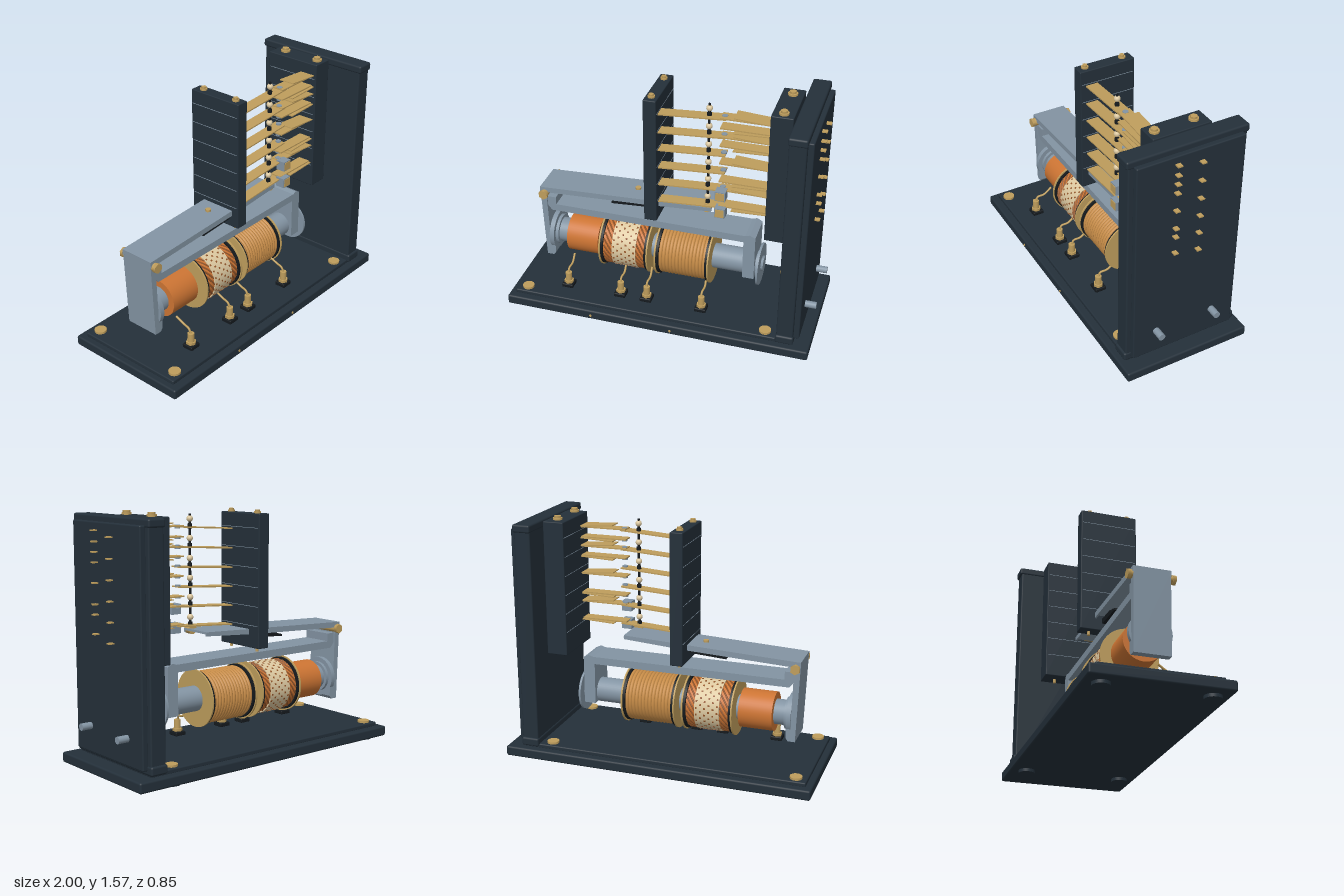
import * as THREE from 'three';
import { RoundedBoxGeometry } from 'three/addons/geometries/RoundedBoxGeometry.js';

const mat = (name, color) => Object.assign(new THREE.MeshStandardMaterial({ color }), { name });

export function createModel() {
  const M = {
    dark: mat('dark enamel', 0x24303a), black: mat('black insulation', 0x151a1e),
    brass: mat('brass', 0xbe9d5c), steel: mat('steel', 0x8394a3),
    copper: mat('copper', 0xcc7433), tan: mat('enamelled wire', 0xc88d48),
    cream: mat('cream wrap', 0xdcc8a0), brown: mat('brown thread', 0x93562a),
  };
  const root = new THREE.Group();
  const add = (name, geo, m, x = 0, y = 0, z = 0, parent = root) => {
    const mesh = new THREE.Mesh(geo, m);
    mesh.name = name;
    mesh.position.set(x, y, z);
    parent.add(mesh);
    return mesh;
  };
  // box given by its minimum and maximum corners
  const box = (name, m, x0, x1, y0, y1, z0, z1, r = 0) => {
    const s = [x1 - x0, y1 - y0, z1 - z0];
    const g = r ? new RoundedBoxGeometry(...s, 2, r) : new THREE.BoxGeometry(...s);
    return add(name, g, m, (x0 + x1) / 2, (y0 + y1) / 2, (z0 + z1) / 2);
  };
  const cyl = (name, m, axis, r, len, x, y, z, sides = 32) => {
    const g = new THREE.CylinderGeometry(r, r, len, sides);
    if (axis === 'x') g.rotateZ(-Math.PI / 2);
    if (axis === 'z') g.rotateX(Math.PI / 2);
    return add(name, g, m, x, y, z);
  };
  // flat strip between two points in the xy plane
  const strip = (name, m, x0, y0, x1, y1, t, z0, z1) => {
    const g = new THREE.BoxGeometry(Math.hypot(x1 - x0, y1 - y0), t, z1 - z0);
    const b = add(name, g, m, (x0 + x1) / 2, (y0 + y1) / 2, (z0 + z1) / 2);
    b.rotation.z = Math.atan2(y1 - y0, x1 - x0);
    return b;
  };
  // side profile extruded across z
  const plate = (name, m, pts, z0, z1) => {
    const s = new THREE.Shape(pts.map(p => new THREE.Vector2(...p)));
    return add(name, new THREE.ExtrudeGeometry(s, { depth: z1 - z0, bevelEnabled: false }), m, 0, 0, z0);
  };
  const bolt = (x, y, z, r, h) => {
    cyl('boltWasher', M.brass, 'y', r, h * 0.5, x, y + h * 0.25, z, 24);
    cyl('boltHead', M.brass, 'y', r * 0.75, h, x, y + h / 2, z, 6);
  };

  // Base, feet and screws
  box('base', M.dark, -1, 1, 0.02, 0.085, -0.42, 0.42, 0.012);
  box('baseTop', M.dark, -0.96, 0.89, 0.08, 0.11, -0.37, 0.37, 0.008);
  for (const x of [-0.89, 0.71]) for (const z of [-0.317, 0.317]) {
    cyl('foot', M.dark, 'y', 0.053, 0.03, x, 0.015, z);
    cyl('baseScrew', M.brass, 'y', 0.038, 0.014, x, 0.117, z);
  }
  for (const x of [-0.42, 0.115]) cyl('sidePin', M.brass, 'z', 0.008, 0.008, x, 0.05, 0.421, 12);

  // Upright end panel
  box('panel', M.dark, 0.79, 0.895, 0.09, 1.545, -0.378, 0.378, 0.01);
  box('panelTopCap', M.dark, 0.785, 0.9, 1.495, 1.545, -0.39, 0.39, 0.012);
  box('panelBottomCap', M.dark, 0.785, 0.9, 0.095, 0.15, -0.39, 0.39, 0.012);
  box('panelBack', M.dark, 0.89, 0.93, 0.12, 1.508, -0.347, 0.347, 0.008);
  for (const z of [-0.193, 0.193]) cyl('panelStud', M.steel, 'x', 0.022, 0.08, 0.96, 0.285, z, 16);

  // Insulating blocks that clamp the blades
  const moving = [1.43, 1.307, 1.185, 1.063, 0.942, 0.82];
  const fixed = [1.46, 1.395, 1.335, 1.275, 1.155, 1.03, 0.97, 0.855];
  box('movingBlock', M.dark, -0.13, -0.048, 0.69, 1.53, -0.21, 0.16, 0.006);
  box('fixedBlock', M.dark, 0.638, 0.772, 0.68, 1.54, -0.225, 0.155, 0.006);
  box('blockSpacer', M.dark, 0.76, 0.8, 0.8, 1.45, -0.12, 0.1);
  for (const z of [-0.145, 0.108]) {
    bolt(-0.09, 1.53, z, 0.022, 0.022);
    bolt(0.707, 1.54, z, 0.03, 0.025);
    cyl('boltEnd', M.brass, 'y', 0.01, 0.03, -0.09, 0.68, z, 12);
    cyl('boltEnd', M.brass, 'y', 0.01, 0.03, 0.707, 0.67, z, 12);
  }
  for (const y of moving) for (const [x, lo, hi] of [[-0.1305, -0.2, 0.15], [-0.0475, -0.2, 0.15], [0.6375, -0.215, 0.145]])
    box('blockSeam', M.steel, x - 0.001, x + 0.001, y + 0.01, y + 0.013, lo, hi);

  // Contact blades, tips and rear tabs
  moving.forEach((y, i) => {
    strip('movingBlade', M.brass, -0.06, y - 0.003, 0.37, y + 0.025, 0.008, 0.045, 0.125);
    box('movingTab', M.brass, 0.92, 0.962, y - 0.004, y + 0.004, -0.076, -0.046);
    cyl('movingTip', M.steel, 'y', 0.018, 0.012, 0.355, y + 0.03, 0.085, 16);
  });
  fixed.forEach((y, i) => {
    const d = i % 2 ? -0.018 : 0.018;
    box('fixedBlade', M.brass, 0.335, 0.645, y - 0.004, y + 0.004, 0.045, 0.125);
    strip('bladeStiffener', M.brass, 0.42, y + d + 0.003, 0.645, y + d * 0.3, 0.006, 0.035, 0.14);
    box('fixedTab', M.brass, 0.92, 0.962, y - 0.004, y + 0.004, 0.08, 0.11);
    cyl('fixedTip', M.steel, 'y', 0.018, 0.012, 0.355, y - 0.009, 0.085, 16);
  });
  for (const y of [0.945, 0.825]) {
    box('contactCube', M.steel, 0.322, 0.388, y - 0.032, y + 0.032, 0.1, 0.162);
    box('contactCubeFace', M.brass, 0.328, 0.382, y - 0.026, y + 0.026, 0.16, 0.166);
  }

  // Lifting rod with beads
  cyl('liftRod', M.black, 'y', 0.008, 0.73, 0.26, 1.165, 0.085, 12);
  for (const y of [1.5, 1.38, 1.257, 1.135, 1.015, 0.89]) {
    add('liftBead', new THREE.SphereGeometry(0.02, 16, 12), M.cream, 0.26, y, 0.085);
    cyl('liftCollar', M.black, 'y', 0.014, 0.03, 0.26, y - 0.045, 0.085, 12);
  }
  cyl('liftPivot', M.brass, 'z', 0.03, 0.05, 0.26, 0.815, 0.085, 20);

  // Armature: channel arm, hanging leg and pivot
  strip('armTop', M.steel, -0.85, 0.765, 0.29, 0.815, 0.014, -0.118, 0.113);
  for (const z of [-0.118, 0.101])
    plate('armFlange', M.steel, [[-0.85, 0.735], [-0.13, 0.768], [0.29, 0.797], [0.29, 0.815], [-0.85, 0.765]], z, z + 0.012);
  plate('armatureLeg', M.steel, [[-0.85, 0.765], [-0.83, 0.25], [-0.785, 0.25], [-0.77, 0.27],
    [-0.77, 0.36], [-0.8, 0.4], [-0.81, 0.74]], -0.115, 0.11);
  cyl('armaturePivot', M.brass, 'z', 0.026, 0.28, -0.82, 0.73, 0, 20);
  for (const z of [-0.135, 0.135]) cyl('pivotNut', M.brass, 'z', 0.032, 0.02, -0.82, 0.73, z, 6);
  cyl('armScrew', M.brass, 'y', 0.018, 0.02, -0.22, 0.803, -0.005, 16);
  for (let i = 0; i < 4; i++)
    strip('dampingStack', M.black, -0.37 + i * 0.03, 0.728 + i * 0.009, -0.11, 0.745 + i * 0.007, 0.012, -0.07, 0.09);

  // Yoke over the coils
  plate('yoke', M.steel, [[-0.82, 0.7], [-0.82, 0.65], [-0.78, 0.6], [0.5, 0.6], [0.5, 0.33], [0.575, 0.33],
    [0.575, 0.64], [0.54, 0.658], [0.51, 0.648], [-0.75, 0.648], [-0.75, 0.7]], -0.105, 0.1);

  // Core, end discs and copper slug along one axis
  const cy = 0.392;
  cyl('core', M.steel, 'x', 0.08, 1.38, -0.1, cy, 0, 40);
  cyl('poleDisc', M.steel, 'x', 0.13, 0.03, -0.785, cy, 0, 40);
  cyl('poleCollar', M.steel, 'x', 0.1, 0.02, -0.76, cy, 0, 40);
  cyl('endDisc', M.steel, 'x', 0.137, 0.014, 0.598, cy - 0.005, 0, 40);
  cyl('endNut', M.steel, 'x', 0.05, 0.04, 0.6, cy, 0, 6);
  cyl('copperSlug', M.copper, 'x', 0.124, 0.215, -0.573, cy, 0, 48);

  // Bobbin flanges: brass outside, black inside
  for (const [x, s] of [[-0.436, 1], [-0.115, -1], [-0.06, 1], [0.289, -1]]) {
    cyl('bobbinFlange', M.brass, 'x', 0.182, 0.01, x, cy, 0, 48);
    cyl('bobbinWasher', M.black, 'x', 0.174, 0.016, x + s * 0.013, cy, 0, 48);
  }

  // Wrapped coil: copper winding, crossed threads and a dotted cream band
  cyl('firstWinding', M.copper, 'x', 0.16, 0.29, -0.275, cy, 0, 48);
  for (const [x0, x1] of [[-0.412, -0.352], [-0.196, -0.138]]) for (let i = 0; i < 24; i++) {
    const pts = [];
    for (let k = 0; k <= 4; k++) {
      const a = (i / 24) * Math.PI * 2 + k * 0.13;
      pts.push(new THREE.Vector3(x0 + (x1 - x0) * k / 4, cy + 0.16 * Math.cos(a), 0.16 * Math.sin(a)));
    }
    add('windingThread', new THREE.TubeGeometry(new THREE.CatmullRomCurve3(pts), 6, 0.006, 5), M.brown);
  }
  cyl('creamBand', M.cream, 'x', 0.168, 0.16, -0.274, cy, 0, 48);
  for (let i = 0; i < 24; i++) for (let j = 0; j < 6; j++) {
    const a = ((i + (j % 2) / 2) / 24) * Math.PI * 2;
    const dot = add('bandDot', new THREE.BoxGeometry(0.011, 0.004, 0.011), M.brown,
      -0.342 + j * 0.0272, cy + 0.168 * Math.cos(a), 0.168 * Math.sin(a));
    dot.rotation.x = a;
  }

  // Ridged wire coil
  cyl('secondWinding', M.tan, 'x', 0.154, 0.32, 0.115, cy, 0, 48);
  for (let i = 0; i < 14; i++) {
    const ring = new THREE.TorusGeometry(0.154, 0.0125, 8, 48).rotateY(Math.PI / 2);
    add('wireTurn', ring, M.tan, -0.028 + i * 0.0222, cy, 0);
  }

  // Base terminals with leads up to the coils
  for (const x of [-0.64, -0.277, -0.1, 0.267]) {
    box('terminalPad', M.black, x - 0.038, x + 0.038, 0.108, 0.135, 0.182, 0.258, 0.006);
    cyl('terminalNut', M.brass, 'y', 0.032, 0.02, x, 0.143, 0.22, 6);
    cyl('terminalPost', M.brass, 'y', 0.021, 0.07, x, 0.175, 0.22, 20);
    const lead = new THREE.CatmullRomCurve3([[0, 0.2, 0.22], [0, 0.235, 0.205], [0.006, 0.245, 0.16], [0, 0.28, 0.1]]
      .map(([dx, y, z]) => new THREE.Vector3(x + dx, y, z)));
    add('lead', new THREE.TubeGeometry(lead, 14, 0.007, 8), M.brass);
  }
  return root;
}
